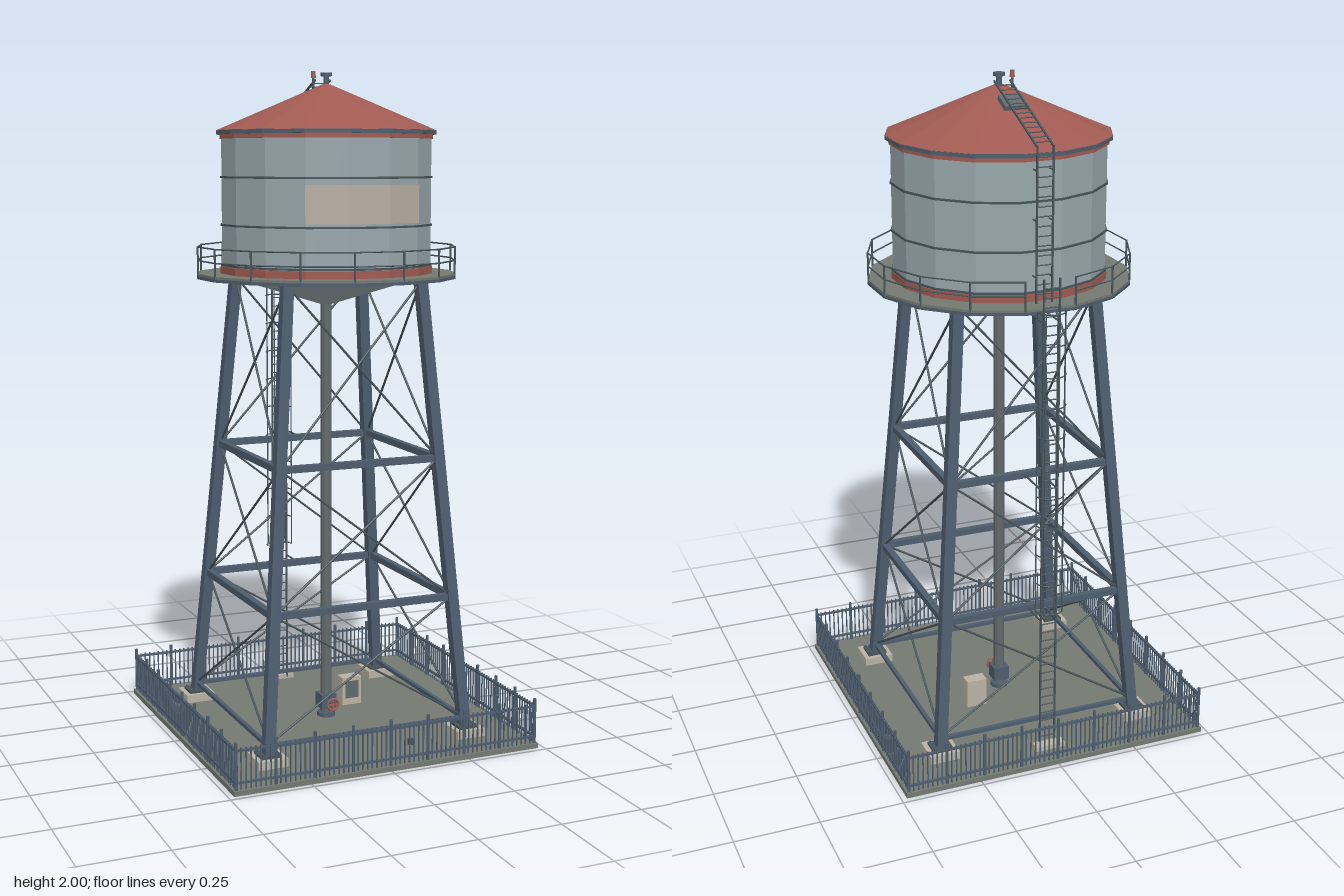
import * as THREE from 'three';
import { mergeGeometries } from 'three/addons/utils/BufferGeometryUtils.js';

const SIDES = 16;
const TURN = Math.PI / SIDES; // puts a flat facet on each axis

export function createModel() {
  const root = new THREE.Group();
  root.name = 'waterTower';

  const paint = (name, color, extra = {}) => {
    const m = new THREE.MeshStandardMaterial({ color, ...extra });
    m.name = name;
    return m;
  };
  const red = paint('roofRed', 0xa05b52);
  const tank = paint('tankGrey', 0x98a7ac);
  const steel = paint('blueSteel', 0x4e5d6e);
  const iron = paint('ironGrey', 0x48555a);
  const ground = paint('slabGrey', 0x747972);
  const concrete = paint('paleConcrete', 0xbab3a4);
  const pipe = paint('pipeGrey', 0x626a6b);
  const sign = paint('signCream', 0xb8afa0, { side: THREE.DoubleSide });

  // Merges a list of geometries into one faceted, named mesh
  const part = (name, material, ...geos) => {
    const flat = mergeGeometries(geos.map((g) => (g.index ? g.toNonIndexed() : g)));
    flat.computeVertexNormals();
    const mesh = new THREE.Mesh(flat, material);
    mesh.name = name;
    root.add(mesh);
  };
  const V = (x, y, z) => new THREE.Vector3(x, y, z);
  const box = (w, h, d, x, y, z) => new THREE.BoxGeometry(w, h, d).translate(x, y, z);
  const cyl = (rTop, rBottom, y0, y1, n = SIDES, x = 0, z = 0) =>
    new THREE.CylinderGeometry(rTop, rBottom, y1 - y0, n)
      .rotateY(n === SIDES ? TURN : 0).translate(x, (y0 + y1) / 2, z);
  const place = (g, a, b) => {
    const dir = b.clone().sub(a).normalize();
    g.applyQuaternion(new THREE.Quaternion().setFromUnitVectors(V(0, 1, 0), dir));
    const mid = a.clone().add(b).multiplyScalar(0.5);
    return g.translate(mid.x, mid.y, mid.z);
  };
  const beam = (a, b, w) => place(new THREE.BoxGeometry(w, a.distanceTo(b), w), a, b);
  const rod = (a, b, r, n = 6) => place(new THREE.CylinderGeometry(r, r, a.distanceTo(b), n), a, b);
  // Faceted ring with a square section
  const ring = (rIn, rOut, y0, y1) => new THREE.LatheGeometry(
    [[rIn, y0], [rOut, y0], [rOut, y1], [rIn, y1], [rIn, y0]].map((p) => new THREE.Vector2(...p)),
    SIDES).rotateY(TURN);

  // Ground slab
  part('slab', ground, box(0.966, 0.015, 0.966, 0, 0.0075, 0));

  // Footings and legs
  const corners = [[1, 1], [1, -1], [-1, -1], [-1, 1]];
  const spread = (y) => 0.322 - 0.079 * y;
  const legPoint = ([sx, sz], y) => V(sx * spread(y), y, sz * spread(y));
  part('footings', concrete, ...corners.map(([sx, sz]) =>
    box(0.092, 0.025, 0.092, sx * 0.32, 0.027, sz * 0.32)));
  const bolts = corners.flatMap(([sx, sz]) => corners.map(([bx, bz]) =>
    cyl(0.003, 0.003, 0.045, 0.052, 6, sx * 0.32 + bx * 0.025, sz * 0.32 + bz * 0.025)));
  part('basePlates', iron, ...bolts, ...corners.map(([sx, sz]) =>
    box(0.062, 0.008, 0.062, sx * 0.32, 0.043, sz * 0.32)));
  part('legs', steel, ...corners.map((c) => beam(legPoint(c, 0.04), legPoint(c, 1.395), 0.032)));

  // Struts and crossed tie rods on each side of the tower
  const struts = [], ties = [];
  corners.forEach((c, i) => {
    const next = corners[(i + 1) % 4];
    for (const [y, w] of [[0.066, 0.012], [0.44, 0.02], [0.86, 0.02]]) {
      struts.push(beam(legPoint(c, y), legPoint(next, y), w));
    }
    for (const [y0, y1] of [[0.07, 0.44], [0.44, 0.86], [0.86, 1.385]]) {
      ties.push(rod(legPoint(c, y0), legPoint(next, y1), 0.0035));
      ties.push(rod(legPoint(next, y0), legPoint(c, y1), 0.0035));
    }
  });
  part('struts', steel, ...struts);
  part('tieRods', iron, ...ties);

  // Riser pipe, valve and hand wheel
  part('riserPipe', pipe, cyl(0.017, 0.017, 0.015, 1.33, 10));
  part('valve', steel, box(0.05, 0.045, 0.05, 0, 0.065, 0), cyl(0.028, 0.028, 0.015, 0.028, 10),
    rod(V(0, 0.065, 0.02), V(0, 0.065, 0.055), 0.005));
  part('valveWheel', red, new THREE.TorusGeometry(0.018, 0.004, 6, 12).translate(0, 0.065, 0.055),
    box(0.034, 0.004, 0.004, 0, 0.065, 0.055), box(0.004, 0.034, 0.004, 0, 0.065, 0.055));

  // Control cabinet
  part('cabinet', concrete, box(0.065, 0.09, 0.04, 0.115, 0.06, -0.08));
  part('cabinetDoor', pipe, box(0.045, 0.055, 0.004, 0.115, 0.065, -0.059));

  // Tank body, bottom and bands
  part('tankBody', tank, cyl(0.316, 0.316, 1.4, 1.82));
  part('tankBottom', tank, cyl(0.314, 0.012, 1.308, 1.4));
  part('redBands', red, cyl(0.321, 0.321, 1.405, 1.428), cyl(0.321, 0.321, 1.802, 1.817));
  part('tankHoops', iron, ...[1.432, 1.55, 1.69].map((y) => ring(0.312, 0.32, y - 0.003, y + 0.003)));
  part('eaveRim', steel, cyl(0.331, 0.331, 1.815, 1.827));

  // Roof, vent, beacon and hatch
  part('roof', red, cyl(0.012, 0.332, 1.826, 1.962));
  part('roofVent', steel, cyl(0.009, 0.009, 1.95, 1.988, 8), cyl(0.017, 0.017, 1.986, 1.996, 10));
  part('beaconMast', iron, cyl(0.004, 0.004, 1.94, 1.982, 6, -0.041));
  part('beaconLamp', red, cyl(0.007, 0.008, 1.98, 2.0, 8, -0.041));
  part('roofHatch', pipe, new THREE.BoxGeometry(0.07, 0.02, 0.06).rotateX(-0.4).translate(0, 1.925, -0.105));

  // Blank sign wrapped around the three front facets
  part('signPanel', sign, new THREE.CylinderGeometry(
    0.321, 0.321, 0.11, 3, 1, true, -3 * TURN, 6 * TURN).translate(0, 1.615, 0));

  // Walkway around the tank
  part('walkwayDeck', ground, ring(0.3, 0.391, 1.399, 1.406));
  part('walkwayFrame', steel, ring(0.3, 0.392, 1.39, 1.399));

  // Walkway railing, open at the back for the ladder
  const railing = [];
  const railPoint = (k, y) => V(Math.sin((2 * k + 1) * TURN) * 0.389, y, Math.cos((2 * k + 1) * TURN) * 0.389);
  for (let k = 0; k < SIDES; k++) {
    railing.push(rod(railPoint(k, 1.4), railPoint(k, 1.487), 0.003));
    if (k === 7) continue;
    for (const y of [1.445, 1.485]) railing.push(rod(railPoint(k, y), railPoint(k + 1, y), 0.0024));
  }
  part('walkwayRailing', iron, ...railing);

  // Ladders: two rails with rungs between two points
  const ladder = (a, b, half, step) => {
    const geos = [-half, half].map((x) => beam(V(x, a.y, a.z), V(x, b.y, b.z), 0.005));
    const n = Math.round(a.distanceTo(b) / step);
    for (let i = 1; i < n; i++) {
      const p = a.clone().lerp(b, i / n);
      geos.push(rod(V(-half, p.y, p.z), V(half, p.y, p.z), 0.002));
    }
    return geos;
  };
  const LZ = -0.39;
  part('towerLadder', iron, ...ladder(V(0, 0.02, LZ), V(0, 1.49, LZ), 0.024, 0.027));
  part('tankLadder', iron, ...ladder(V(0, 1.405, -0.336), V(0, 1.845, -0.336), 0.024, 0.027));
  part('roofLadder', iron, ...ladder(V(0, 1.845, -0.336), V(0, 1.976, -0.025), 0.024, 0.024));
  part('ladderPad', concrete, box(0.094, 0.015, 0.032, 0, 0.022, -0.404));

  // Ladder supports
  const stays = [];
  for (const x of [-0.024, 0.024]) {
    for (const y of [0.44, 0.86, 1.365]) stays.push(rod(V(x, y, LZ), V(x, y, -spread(y)), 0.003));
    for (const y of [1.48, 1.64, 1.78]) stays.push(rod(V(x, y, -0.336), V(x, y, -0.305), 0.0025));
  }
  part('ladderStays', iron, ...stays);

  // Safety cage
  const cage = [];
  const cagePoint = (t, y) => V(Math.cos(t) * 0.042, y, LZ - Math.sin(t) * 0.042);
  for (let i = 0; i <= 10; i++) {
    const y = 0.478 + i * 0.092;
    for (let j = 0; j < 8; j++) {
      cage.push(rod(cagePoint((j * Math.PI) / 8, y), cagePoint(((j + 1) * Math.PI) / 8, y), 0.002, 5));
    }
  }
  for (let j = 0; j <= 4; j++) {
    cage.push(rod(cagePoint((j * Math.PI) / 4, 0.478), cagePoint((j * Math.PI) / 4, 1.398), 0.002, 5));
  }
  part('ladderCage', iron, ...cage);

  // Perimeter fence: eight bays a side
  const posts = [], pickets = [], rails = [];
  const F = 0.474, bay = (2 * F) / 8;
  for (let side = 0; side < 4; side++) {
    const add = (list, g) => list.push(g.rotateY((side * Math.PI) / 2));
    for (const y of [0.035, 0.128]) add(rails, box(2 * F, 0.006, 0.007, 0, y, F));
    for (let i = 0; i < 8; i++) {
      const x = -F + i * bay;
      add(posts, cyl(0.005, 0.005, 0.012, 0.152, 8, x, F));
      for (let j = 1; j < 8; j++) add(pickets, box(0.0035, 0.122, 0.0035, x + (j * bay) / 8, 0.075, F));
    }
  }
  part('fencePosts', steel, ...posts);
  part('fencePickets', steel, ...pickets);
  part('fenceRails', steel, ...rails);
  part('gateLatch', iron, box(0.014, 0.018, 0.012, 0.06, 0.08, F + 0.004));

  return root;
}
